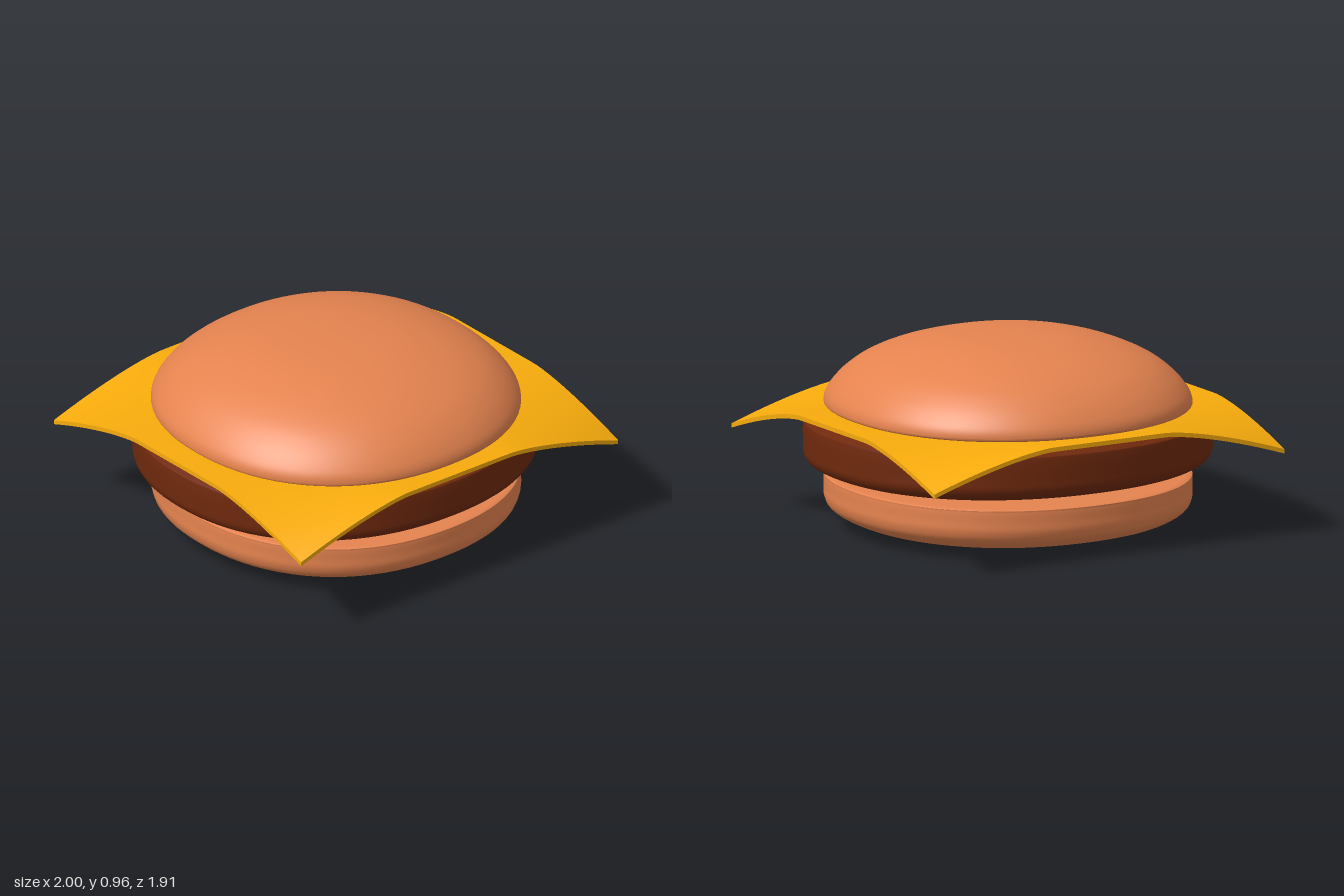
import * as THREE from 'three';
import { toCreasedNormals } from 'three/addons/utils/BufferGeometryUtils.js';

const BUN = 0xe5834f, PATTY = 0x70290d, CHEESE = 0xf7ab0c;

function makeMesh(name, geometry, color) {
  geometry.computeVertexNormals();
  const mesh = new THREE.Mesh(
    toCreasedNormals(geometry, 0.7),
    new THREE.MeshStandardMaterial({ color })
  );
  mesh.name = name;
  return mesh;
}

// Closed, slightly squarish disc: flat underside, smooth outer curve, flat top
function roundLayer(name, color, outline, scaleZ = 1) {
  const curve = new THREE.SplineCurve(outline.map(([r, y]) => new THREE.Vector2(r, y)));
  const profile = curve.getPoints(48);
  profile.forEach((p) => { p.x = Math.max(p.x, 0); });
  const first = profile[0], last = profile[profile.length - 1];
  if (first.x > 0) profile.unshift(new THREE.Vector2(0, first.y));
  if (last.x > 0) profile.push(new THREE.Vector2(0, last.y));

  const geometry = new THREE.LatheGeometry(profile, 80);
  const pos = geometry.attributes.position;
  const power = 2.17;
  for (let i = 0; i < pos.count; i++) {
    const x = pos.getX(i), z = pos.getZ(i);
    const r = Math.hypot(x, z);
    if (r < 1e-6) continue;
    const k = (Math.abs(x / r) ** power + Math.abs(z / r) ** power) ** (-1 / power);
    pos.setXYZ(i, x * k, pos.getY(i), z * k * scaleZ);
  }
  return makeMesh(name, geometry, color);
}

// Thin square slice whose four corners droop
function cheeseSlice() {
  const halfX = 1, halfZ = 0.953;
  const geometry = new THREE.BoxGeometry(2 * halfX, 0.022, 2 * halfZ, 48, 1, 48);
  const pos = geometry.attributes.position;
  const bend = (t) => Math.max(0, (Math.abs(t) - 0.32) / 0.68) ** 1.45;
  for (let i = 0; i < pos.count; i++) {
    const bx = bend(pos.getX(i) / halfX), bz = bend(pos.getZ(i) / halfZ);
    pos.setY(i, pos.getY(i) + 0.591 - 0.152 * bx * bz - 0.006 * (bx + bz));
  }
  return makeMesh('cheeseSlice', geometry, CHEESE);
}

export function createModel() {
  const burger = new THREE.Group();
  burger.name = 'burger';

  burger.add(roundLayer('bottomBun', BUN, [
    [0, 0.003], [0.35, 0.008], [0.6, 0.023], [0.76, 0.05], [0.85, 0.095],
    [0.878, 0.145], [0.88, 0.2], [0.88, 0.25], [0.872, 0.262], [0.8, 0.266], [0.4, 0.272],
  ]));

  burger.add(roundLayer('patty', PATTY, [
    [0, 0.272], [0.4, 0.275], [0.68, 0.283], [0.86, 0.3], [0.96, 0.327],
    [0.995, 0.365], [1, 0.42], [1, 0.52], [0.985, 0.54], [0.9, 0.558], [0.6, 0.575],
  ], 0.92));

  burger.add(cheeseSlice());

  burger.add(roundLayer('topBun', BUN, [
    [0.8, 0.598], [0.868, 0.603], [0.88, 0.625], [0.862, 0.675], [0.8, 0.75],
    [0.7, 0.825], [0.55, 0.89], [0.36, 0.937], [0.17, 0.956], [0, 0.961],
  ]));

  return burger;
}
